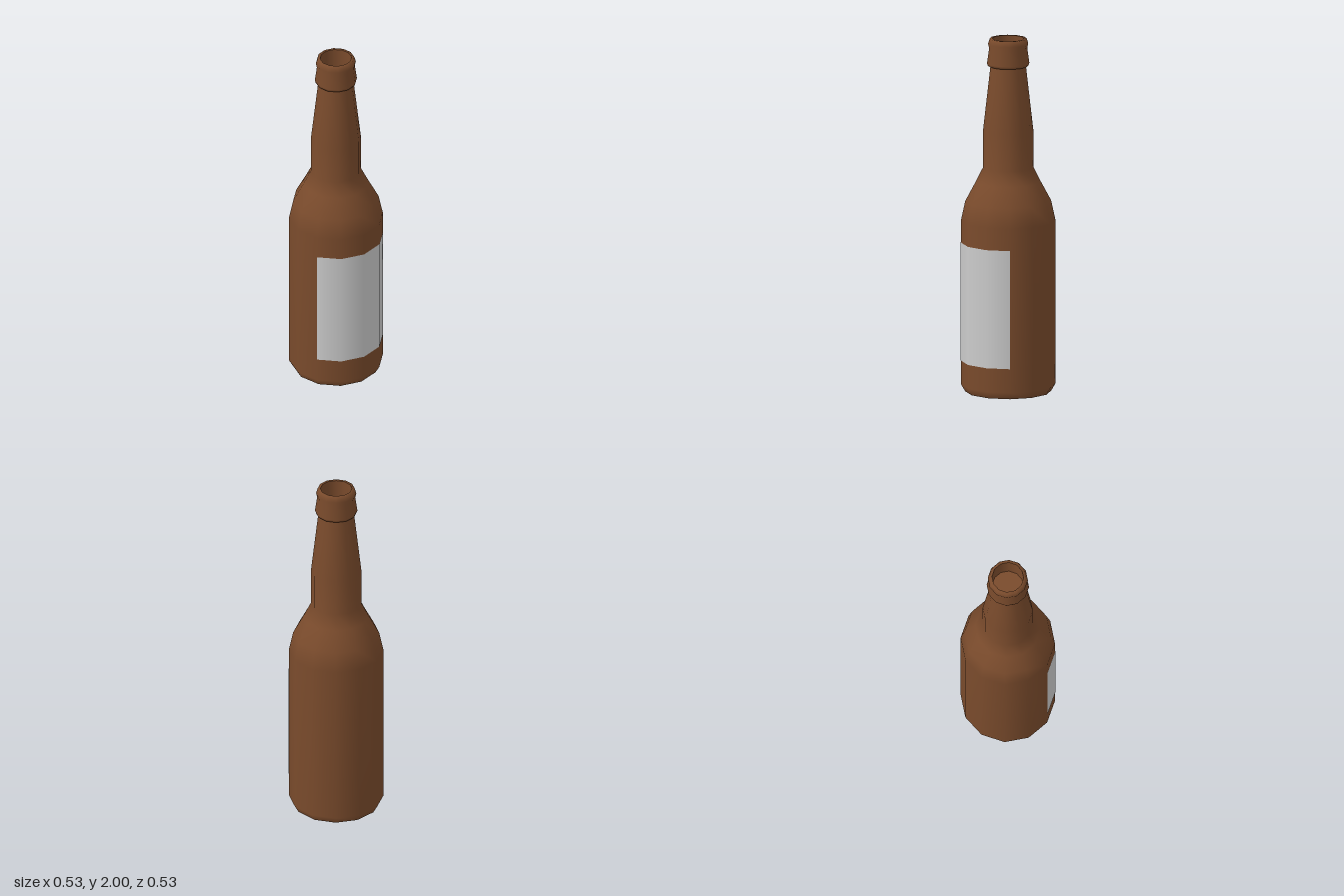
import * as THREE from 'three';

const SIDES = 12;

export function createModel() {
  const bottle = new THREE.Group();
  bottle.name = 'bottle';
  const glass = new THREE.MeshStandardMaterial({ color: 0x7a4b2c });
  const paper = new THREE.MeshStandardMaterial({ color: 0xcccccc, side: THREE.DoubleSide });

  const add = (name, geometry, material) => {
    const mesh = new THREE.Mesh(geometry, material);
    mesh.name = name;
    bottle.add(mesh);
    return mesh;
  };

  // Revolve a [radius, height] profile around the y axis
  const turned = (name, profile) =>
    add(name, new THREE.LatheGeometry(profile.map(([r, y]) => new THREE.Vector2(r, y)), SIDES), glass);

  // Body, shoulder and tapering neck
  turned('body', [
    [0.24, 0], [0.263, 0.04], [0.263, 0.97], [0.239, 1.08], [0.18, 1.19],
    [0.14, 1.27], [0.14, 1.48], [0.098, 1.85],
  ]);

  // Rolled lip around the mouth, ending at the inner edge
  turned('lip', [
    [0.096, 1.845], [0.113, 1.845], [0.118, 1.86], [0.106, 1.945],
    [0.112, 1.97], [0.103, 2], [0.088, 2],
  ]);

  // Inside wall of the mouth
  turned('mouthWall', [[0.088, 2], [0.088, 1.86]]);

  // Flat discs close the base and the inside of the mouth
  const disc = (name, radius, y, tilt) => {
    const geometry = new THREE.CircleGeometry(radius, SIDES).rotateX(tilt);
    add(name, geometry, glass).position.y = y;
  };
  disc('base', 0.24, 0, Math.PI / 2);
  disc('mouthFloor', 0.088, 1.86, -Math.PI / 2);

  // Paper label wrapped over the front four facets
  const label = new THREE.CylinderGeometry(
    0.265, 0.265, 0.67, 4, 1, true, -Math.PI / 3, (2 * Math.PI) / 3);
  add('label', label, paper).position.y = 0.51;

  return bottle;
}
